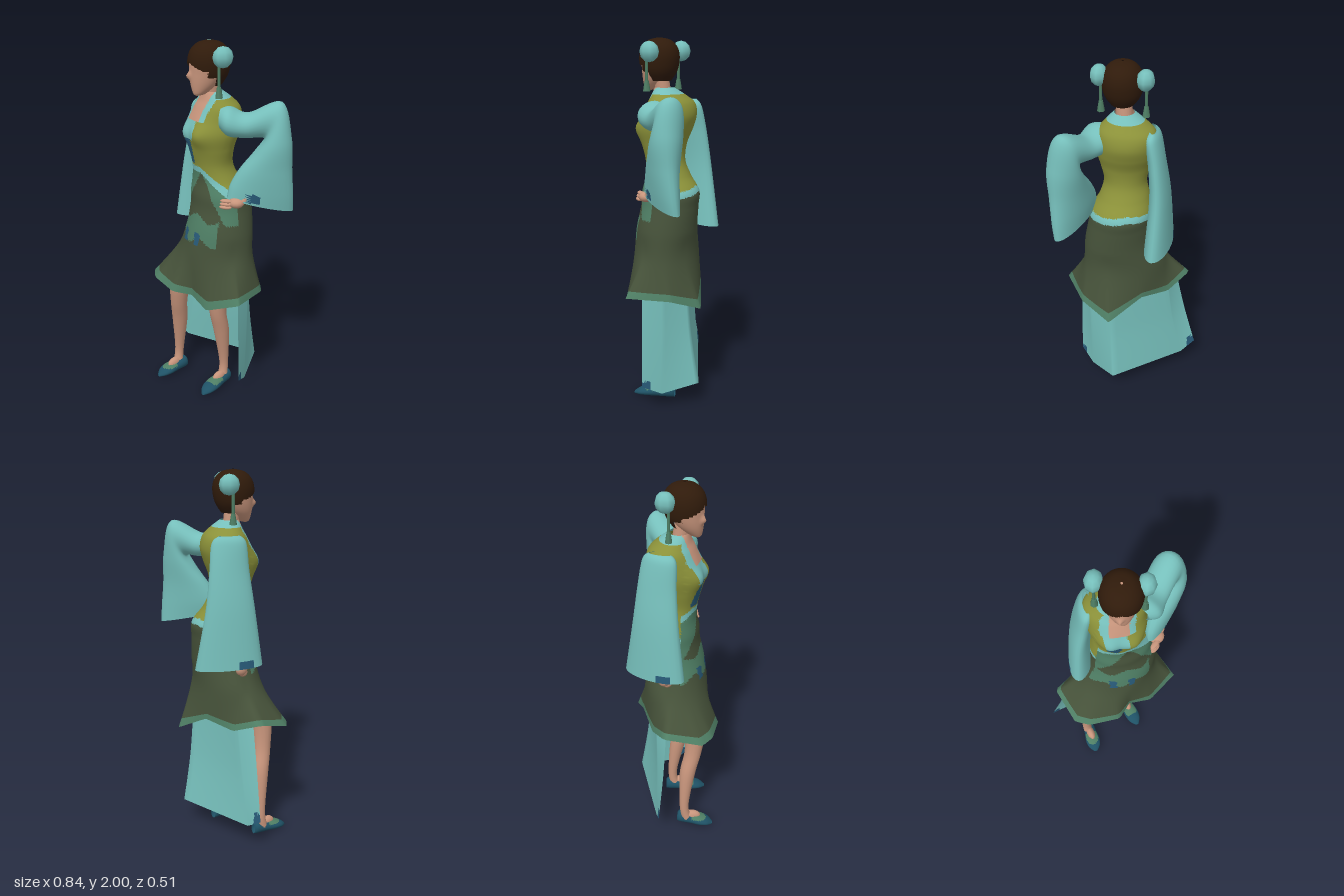
import * as THREE from 'three';

const mat = (name, color) => {
  const m = new THREE.MeshStandardMaterial({ color, side: THREE.DoubleSide });
  m.name = name;
  return m;
};
const V = (x, y, z) => new THREE.Vector3(x, y, z);

export function createModel() {
  const M = {
    aqua: mat('aqua cloth', 0x76bfbb), olive: mat('olive cloth', 0x8b9139),
    forest: mat('dark green cloth', 0x46523a), green: mat('green cloth', 0x4f7f65),
    blue: mat('deep blue', 0x285a78), skin: mat('skin', 0xc8957c),
    hair: mat('brown hair', 0x301b0b), shoe: mat('teal shoe', 0x1f5266),
  };
  const root = new THREE.Group();

  // Surface through loops of points; pick(point, span) chooses a material, or null for a gap.
  function loft(name, loops, pick, { parent = root, sub = 8, closed = true, warp, smooth = true } = {}) {
    const n = loops[0].length, rows = (loops.length - 1) * sub, P = [];
    const curves = loops[0].map((_, i) => loops.map(l => l[i]));
    for (let r = 0; r <= rows; r++) {
      const k = Math.min(Math.floor(r / sub), loops.length - 2), f = r / sub - k;
      for (const c of curves) {
        const b = c[k], d = c[k + 1], a = c[k - 1] ?? b, e = c[k + 2] ?? d, p = V();
        for (const q of ['x', 'y', 'z']) {
          const t0 = (d[q] - a[q]) / 2, t1 = (e[q] - b[q]) / 2, g = d[q] - b[q];
          p[q] = smooth ? b[q] + f * (t0 + f * (3 * g - 2 * t0 - t1 + f * (t0 + t1 - 2 * g))) : b[q] + f * g;
        }
        if (warp) warp(p);
        P.push(p);
      }
    }
    const buckets = new Map(), mid = V();
    for (let r = 0; r < rows; r++) for (let i = 0; i < (closed ? n : n - 1); i++) {
      const j = (i + 1) % n, a = r * n + i, b = r * n + j, c = a + n, d = b + n;
      for (const t of [[a, b, c], [b, d, c]]) {
        mid.set(0, 0, 0);
        t.forEach(v => mid.addScaledVector(P[v], 1 / 3));
        const m = pick(mid, (r + 0.5) / sub);
        if (!m) continue;
        if (!buckets.has(m)) buckets.set(m, []);
        buckets.get(m).push(...t);
      }
    }
    const g = new THREE.BufferGeometry().setFromPoints(P), index = [];
    [...buckets.values()].forEach((list, k) => {
      g.addGroup(index.length, list.length, k);
      for (const v of list) index.push(v);
    });
    g.setIndex(index);
    g.computeVertexNormals();
    return add(name, g, [...buckets.keys()], parent);
  }
  function add(name, g, m, parent = root, pos = [0, 0, 0]) {
    const mesh = new THREE.Mesh(g, m);
    mesh.name = name;
    mesh.position.set(...pos);
    parent.add(mesh);
    return mesh;
  }
  // Ellipse from a centre and two half axes
  const ell = (c, a, b, n = 24) => Array.from({ length: n }, (_, i) => {
    const t = i / n * Math.PI * 2;
    return V(...c).addScaledVector(V(...a), Math.cos(t)).addScaledVector(V(...b), Math.sin(t));
  });
  // Level ring with separate front and back depth, turned by yaw
  const ring = ([y, cx, cz, rx, rf, rb, yaw = 0], n = 84) => Array.from({ length: n }, (_, i) => {
    const t = i / n * Math.PI * 2, s = Math.sin(t), X = rx * Math.cos(t), Z = s * (s > 0 ? rf : rb);
    return V(cx + X * Math.cos(yaw) + Z * Math.sin(yaw), y, cz - X * Math.sin(yaw) + Z * Math.cos(yaw));
  });
  const limb = (name, pts) =>
    loft(name, pts.map(([x, y, z, r]) => ell([x, y, z], [r, 0, 0], [0, 0, r], 16)), () => M.skin, { sub: 5 });

  // Skirt hem corners, sampled by angle
  const full = Math.PI * 2;
  const hem = [[-.365, .72, -.04], [-.335, .66, .165], [-.265, .66, .22], [-.09, .645, .253], [0, .63, .19],
    [.13, .59, .21], [.31, .66, .15], [.27, .65, -.08], [.148, .585, -.22], [-.05, .69, -.17], [-.22, .66, -.11]]
    .map(p => ({ p: V(...p), a: (Math.atan2(p[2], p[0]) + full) % full })).sort((u, v) => u.a - v.a);
  const hemLoop = Array.from({ length: 84 }, (_, i) => {
    const t = i / 84 * full, k = hem.findIndex(h => h.a > t);
    const e = hem[k < 0 ? 0 : k], s = hem[k <= 0 ? hem.length - 1 : k - 1];
    return s.p.clone().lerp(e.p, ((t - s.a + full) % full) / ((e.a - s.a + full) % full));
  });

  // Dress: bodice and skirt
  const body = [
    [1.745, .003, .025, .052, .05, .05, -.35], [1.7, 0, .002, .11, .085, .09, -.38], [1.66, 0, -.015, .147, .122, .11, -.38],
    [1.6, 0, -.012, .152, .146, .125, -.38], [1.53, 0, .005, .15, .15, .122, -.38], [1.45, -.003, .02, .13, .125, .108, -.3],
    [1.36, -.003, .025, .113, .1, .11, -.2], [1.28, .005, .01, .133, .11, .128, -.1], [1.2, .025, 0, .165, .135, .17],
    [1.12, .03, -.005, .175, .145, .162], [1, .03, 0, .195, .165, .16], [.85, .003, .005, .235, .18, .165]];
  const last = body.length - 1;
  function dressColour(p, s) {
    const { x, y, z } = p, front = z > .04;
    const trim = front ? Math.max(1.165, Math.min(1.325, 1.36 - .8 * Math.abs(x + .035))) : 1.2 - .15 * Math.abs(x - .03);
    if (y > trim + .032) {
      const neck = Math.abs(x + .035 - Math.max(0, y - 1.63) * .3);
      if (front && y > 1.6 && neck < .048) return M.skin;
      if (y > 1.712) return M.aqua;
      if (front && y > 1.6 && neck < .083) return M.aqua;
      if (front && y > 1.505 && y <= 1.6 && Math.abs(x + .057) < .053) return M.aqua;
      if (front && y > 1.365 && y <= 1.505 && Math.abs(x + .062) < .029) return M.blue;
      return M.olive;
    }
    if (y > trim) return M.aqua;
    if (s > last + .72) return M.green;
    if (front) {
      if (y > .93 && y < 1 && Math.min(Math.abs(x + .08), Math.abs(x - .02)) < .018) return M.blue;
      const low = .955 + .02 * Math.sin(x * 40);
      if (y > low && y < 1.08 + .02 * Math.cos(x * 35) && x < .14) return M.green;
      if (y >= 1.06 && Math.abs(x - .01) > (1.33 - y) * .58) return M.green;
    }
    return M.forest;
  }
  loft('dress', [...body.map(b => ring(b)), hemLoop], dressColour, {
    sub: 12,
    warp(p) { // bust
      const X = p.x * .94 + (p.z - .03) * .34;
      if (p.z > .06) p.z += .026 * Math.exp(-(((Math.abs(X) - .07) / .05) ** 2) - ((p.y - 1.53) / .06) ** 2);
    },
  });

  // Long cloth panel hanging behind the legs
  const along = (pts, n = 49) => Array.from({ length: n }, (_, i) => {
    const t = i / (n - 1) * (pts.length - 1), k = Math.min(Math.floor(t), pts.length - 2);
    return V(...pts[k]).lerp(V(...pts[k + 1]), t - k);
  });
  loft('backPanel', [
    along([[.24, .72, .08], [.22, .72, -.03], [.12, .72, -.135], [-.22, .72, -.09], [-.285, .74, -.03]]),
    along([[.248, .45, .08], [.215, .42, -.03], [.122, .42, -.16], [-.26, .42, -.085], [-.345, .46, -.045]]),
    along([[.255, .135, .08], [.21, .09, -.02], [.125, .14, -.205], [-.325, .135, -.088], [-.413, .19, -.07]]),
  ], p => (p.y < .23 && p.x < -.365) || (p.y < .165 && p.z > .04) ? M.blue : M.aqua, { closed: false, sub: 14 });

  // Right sleeve, hanging
  loft('rightSleeve', [
    ell([-.12, 1.68, -.065], [.015, 0, -.055], [.018, 0, .005]),
    ell([-.122, 1.64, -.068], [.035, 0, -.085], [.04, 0, .015]),
    ell([-.143, 1.5, -.08], [.04, 0, -.098], [.042, 0, .02]),
    ell([-.163, 1.3, -.088], [.056, 0, -.118], [.048, 0, .025]),
    ell([-.162, 1, -.097], [.086, -.01, -.156], [.062, 0, .032]),
  ], p => p.y < 1.045 && p.x < -.2 && p.z > -.09 && p.z < -.01 ? M.blue : M.aqua, { sub: 10 });

  // Left sleeve, bent with the hand on the hip
  loft('leftSleeve', [
    ell([.09, 1.62, .045], [0, .06, 0], [.035, 0, .065]),
    ell([.14, 1.607, .035], [0, .075, 0], [.045, 0, .08]),
    ell([.21, 1.592, -.015], [0, .064, 0], [.04, 0, .065]),
    ell([.313, 1.622, -.088], [.035, .094, -.025], [.045, 0, .06]),
    ell([.325, 1.5, -.078], [.08, .04, -.05], [.05, 0, .07]),
    ell([.302, 1.37, -.055], [.108, 0, -.08], [.045, 0, .062]),
    ell([.286, 1.26, -.045], [.125, -.025, -.105], [.04, 0, .052]),
    ell([.28, 1.18, -.042], [.126, -.036, -.118], [.033, 0, .043]),
  ], p => p.y < 1.245 && p.y > 1.2 && p.z > -.02 && p.x > .265 && p.x < .31 ? M.blue : M.aqua, { sub: 8 });

  // Forearms and hands
  const ball = (name, pos, scale) => {
    const b = add(name, new THREE.SphereGeometry(1, 14, 10), M.skin, root, pos);
    b.scale.set(...scale);
    return b;
  };
  limb('rightForearm', [[-.17, 1.25, -.07, .03], [-.197, 1, -.05, .022]]);
  ball('rightHand', [-.203, .99, -.045], [.026, .035, .034]);
  ball('rightFingers', [-.198, .968, -.03], [.018, .024, .026]);
  limb('leftForearm', [[.29, 1.36, -.05, .035], [.24, 1.21, .04, .022]]);
  ball('leftHand', [.21, 1.195, .065], [.042, .028, .038]).rotation.y = .6;
  for (let i = 0; i < 3; i++) {
    ball('leftFinger', [.178, 1.207 - i * .016, .105 + i * .004], [.034, .01, .016]).rotation.y = .5;
  }

  // Legs and shoes
  limb('rightLeg', [[-.125, .82, .075, .062], [-.16, .65, .12, .06], [-.185, .5, .115, .048], [-.212, .36, .085, .044],
    [-.24, .14, .068, .026], [-.238, .04, .085, .03]]);
  limb('leftLeg', [[.085, .82, .045, .062], [.075, .65, .06, .06], [.07, .5, .055, .048], [.064, .36, .02, .044],
    [.055, .14, -.01, .026], [.058, .04, .005, .03]]);
  const foot = [[0, .02, .03], [.02, .033, .037], [.09, .038, .033], [.15, .045, .028], [.2, .036, .02], [.235, .01, .008]];
  for (const [name, x, z, yaw, len] of [['rightShoe', -.225, .03, -.12, .87], ['leftShoe', .055, -.05, .08, 1]]) {
    const m = loft(name, foot.map(([d, w, h]) => ell([0, h + .003, d * len], [w, 0, 0], [0, h, 0])),
      p => p.y > .046 && p.z > .09 && p.z < .17 ? M.green : M.shoe, { sub: 6 });
    m.position.set(x, 0, z);
    m.rotation.y = yaw;
    ball('instep', [x + Math.sin(yaw) * .09, .055, z + .085], [.025, .034, .05]);
  }

  // Neck
  limb('neck', [[-.005, 1.6, .03, .05], [0, 1.7, .03, .042], [.003, 1.8, .045, .042]]);

  // Head, turned to its right
  const head = new THREE.Group();
  head.name = 'head';
  head.position.set(.006, 0, .05);
  head.rotation.y = -.5;
  root.add(head);
  loft('face', [[1.728, .012, .068, .008, .01, .012], [1.74, .012, .06, .028, .03, .04], [1.785, .004, .03, .06, .07, .065],
    [1.84, 0, .012, .08, .091, .08], [1.9, 0, 0, .09, .1, .085], [1.96, 0, 0, .065, .07, .065]].map(r => ring(r, 48)),
  () => M.skin, {
    parent: head, sub: 6,
    warp(p) { // nose
      if (p.z > .05) p.z += .02 * Math.exp(-((p.x / .013) ** 2) - ((p.y - 1.828) / .018) ** 2);
    },
  });
  loft('hair', [[2, 0, 0, .006, .006, .006], [1.988, 0, 0, .055, .058, .058], [1.955, 0, 0, .088, .095, .094],
    [1.91, 0, 0, .102, .111, .107], [1.86, 0, 0, .1, .11, .102], [1.82, 0, 0, .088, .1, .088], [1.78, 0, 0, .06, .08, .062]]
    .map(r => ring(r, 64)), ({ x, y, z }) => {
    if (z > .035 && y < 1.9 - .5 * Math.abs(x - .01)) return null;
    return z > -.01 && y < 1.825 ? null : M.hair;
  }, { parent: head, sub: 6 });

  // Hair buns with tassels
  for (const s of [-1, 1]) {
    const x = s * .117 - .008;
    const bun = add('hairBun', new THREE.SphereGeometry(.054, 8, 6), M.aqua, head, [x, 1.93, -.035]);
    bun.scale.x = .85;
    add('tasselCord', new THREE.CylinderGeometry(.008, .008, .13, 6), M.green, head, [x, 1.84, -.015]);
    add('tassel', new THREE.CylinderGeometry(.011, .02, .055, 6), M.green, head, [x, 1.757, -.015]);
  }
  return root;
}
